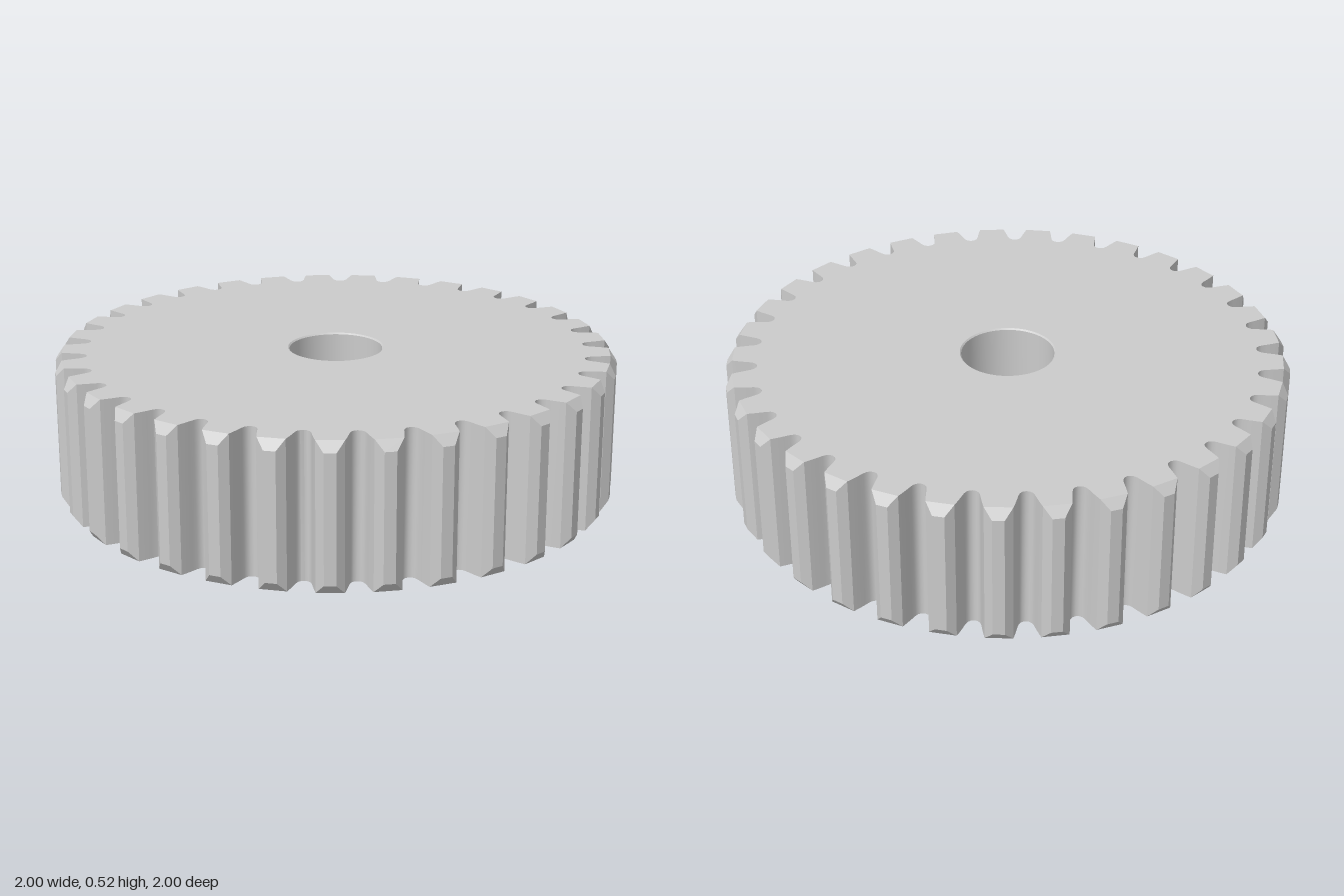
import * as THREE from 'three';
import { mergeGeometries, toCreasedNormals } from 'three/addons/utils/BufferGeometryUtils.js';

const TEETH = 33, HEIGHT = 0.52, BORE = 0.166, BEVEL = 0.005;
const CAP_R = 0.976, CHAMFER_SLOPE = 1.4, TURN = -0.007;

// Half a tooth, from tip land to the middle of the root: [radius, half width]
const HALF_TOOTH = [
  [1.001, 0.02], [CAP_R, 0.047], [0.955, 0.052], [0.93, 0.057],
  [0.91, 0.0605], [0.898, 0.065], [0.89, 0.073],
];
const ROOT_R = 0.887;

// Gear outline, clockwise as seen from above
function outline() {
  const pts = [];
  const add = (r, a) => pts.push({
    x: r * Math.sin(a), z: -r * Math.cos(a),
    drop: Math.max(0, (r - CAP_R) * CHAMFER_SLOPE), // tip chamfer height
  });
  for (let i = 0; i < TEETH; i++) {
    const mid = (i / TEETH) * Math.PI * 2 + TURN;
    add(ROOT_R, mid - Math.PI / TEETH);
    for (const [r, w] of [...HALF_TOOTH].reverse()) add(r, mid - w / r);
    for (const [r, w] of HALF_TOOTH) add(r, mid + w / r);
  }
  return pts;
}

// Tooth walls and the chamfers at both ends of every tip
function toothGeometry(pts) {
  const pos = [];
  const low = (p) => [p.x, p.drop, p.z];
  const high = (p) => [p.x, HEIGHT - p.drop, p.z];
  const quad = (a, b, c, d) => pos.push(...a, ...b, ...c, ...a, ...c, ...d);
  const n = pts.length;
  for (let i = 0; i < n; i++) {
    const p = pts[i], q = pts[(i + 1) % n];
    quad(low(q), low(p), high(p), high(q));
    if (p.drop > 0 && q.drop > 0) {
      const pIn = pts[i - 1], qIn = pts[(i + 2) % n];
      quad(high(q), high(p), high(pIn), high(qIn));
      quad(low(qIn), low(pIn), low(p), low(q));
    }
  }
  const geo = new THREE.BufferGeometry();
  geo.setAttribute('position', new THREE.Float32BufferAttribute(pos, 3));
  geo.computeVertexNormals();
  return toCreasedNormals(geo, 0.5);
}

// Flat end face with the bore cut out; side is 1 for top, -1 for bottom
function faceGeometry(pts, side) {
  const flat = pts.filter((p) => p.drop === 0);
  const shape = new THREE.Shape(flat.map((p) => new THREE.Vector2(p.x, -side * p.z)));
  const hole = new THREE.Path();
  hole.absarc(0, 0, BORE + BEVEL, 0, Math.PI * 2, true);
  shape.holes.push(hole);
  return new THREE.ShapeGeometry(shape, 32)
    .rotateX(-side * Math.PI / 2)
    .translate(0, side > 0 ? HEIGHT : 0, 0);
}

export function createModel() {
  const material = new THREE.MeshStandardMaterial({ color: 0xcccccc });
  const gear = new THREE.Group();
  gear.name = 'spurGear';
  const add = (name, geo) => {
    const mesh = new THREE.Mesh(geo, material);
    mesh.name = name;
    gear.add(mesh);
  };
  const pts = outline();

  add('teeth', toothGeometry(pts));
  add('endFaces', mergeGeometries([faceGeometry(pts, 1), faceGeometry(pts, -1)]));

  // Bore wall with a fine bevel at each mouth, facing inward
  const profile = [
    [BORE + BEVEL, HEIGHT], [BORE, HEIGHT - BEVEL], [BORE, BEVEL], [BORE + BEVEL, 0],
  ].map(([r, y]) => new THREE.Vector2(r, y));
  add('bore', toCreasedNormals(new THREE.LatheGeometry(profile, 64), 0.5));

  // An odd tooth count makes the outline slightly uneven front to back
  gear.position.z = 0.002;
  return gear;
}
